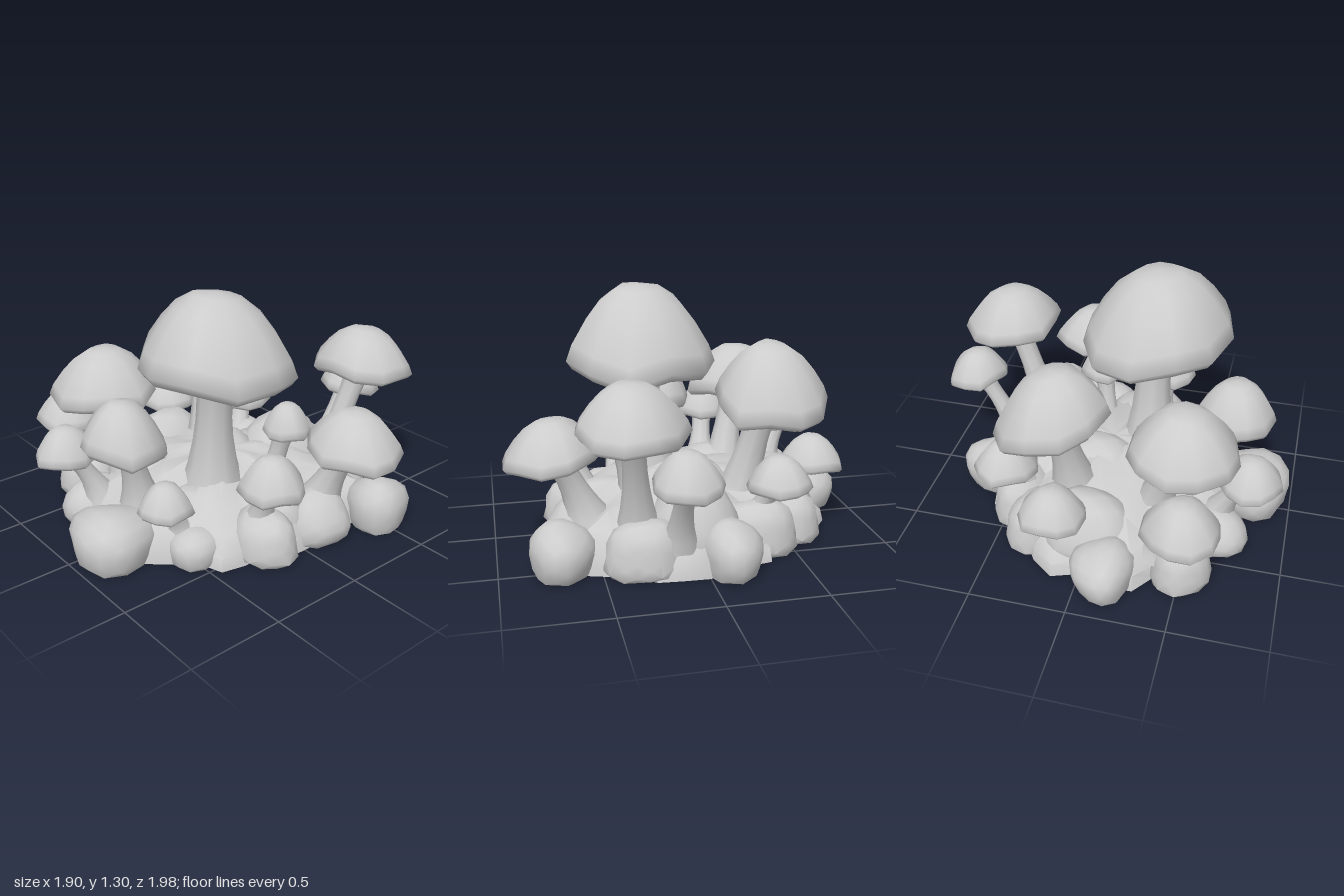
import * as THREE from 'three';
import { toCreasedNormals } from 'three/addons/utils/BufferGeometryUtils.js';

const stone = new THREE.MeshStandardMaterial({ color: 0xcccccc });
stone.name = 'pale grey';

// Move every vertex of a geometry by a rule, then smooth it with sharp edges kept
function reshape(geometry, rule, crease = 0.9) {
  const p = geometry.attributes.position;
  const v = new THREE.Vector3();
  for (let i = 0; i < p.count; i++) {
    v.fromBufferAttribute(p, i);
    rule(v);
    p.setXYZ(i, v.x, v.y, v.z);
  }
  return toCreasedNormals(geometry, crease);
}

function addMesh(group, name, geometry) {
  const mesh = new THREE.Mesh(geometry, stone);
  mesh.name = name;
  group.add(mesh);
}

const lathe = (points, sides) =>
  new THREE.LatheGeometry(points.map(([x, y]) => new THREE.Vector2(x, y)), sides);

// Broad conical cap with a curled lip, wavy rim and a tilt given as slopes in x and z
function makeCap({ x, z, r, rim, top, sx = 0, sz = 0 }, seed) {
  const h = top - rim;
  const profile = [[0, 0.22], [0.3, 0.19], [0.65, 0.1], [0.92, 0.0], [1, 0.1], [0.92, 0.3],
    [0.74, 0.57], [0.54, 0.8], [0.3, 0.96], [0, 1]];
  return reshape(lathe(profile, 11), (v) => {
    const a = Math.atan2(v.x, v.z);
    const d = Math.hypot(v.x, v.z);
    const wave = 1 + 0.03 * Math.sin(3 * a + seed) + 0.03 * Math.sin(5 * a + 2 * seed);
    const droop = 0.07 * d * d * Math.sin(4 * a + seed * 1.7);
    v.x *= r * wave;
    v.z *= r * wave;
    v.y = rim + h * (v.y + droop) + sx * v.x + sz * v.z;
    v.x += x;
    v.z += z;
  }, 1.5);
}

// Curved stem, flared into the mound and widened under the cap
function makeStem({ x, z, rim, top, foot, stem }) {
  const y0 = 0.12, y1 = rim + (top - rim) * 0.28;
  const curve = new THREE.QuadraticBezierCurve3(
    new THREE.Vector3(foot[0], y0, foot[1]),
    new THREE.Vector3(foot[0] * 0.6 + x * 0.4, (y0 + y1) / 2, foot[1] * 0.6 + z * 0.4),
    new THREE.Vector3(x, y1, z));
  return reshape(new THREE.CylinderGeometry(1, 1, 1, 9, 7, true), (v) => {
    const t = v.y + 0.5;
    const c = curve.getPoint(t);
    const s = stem * (1 + 1.5 * Math.pow(1 - t, 3) + 0.55 * Math.pow(t, 6));
    v.set(c.x + v.x * s, c.y, c.z + v.z * s);
  }, 1.5);
}

// Lumpy boulder with a broad foot, cut flat at the ground
function makeRock([x, z, rx, rz, height], seed) {
  const cy = height * 0.36;
  return reshape(new THREE.IcosahedronGeometry(1, 2), (v) => {
    const k = 1 + 0.07 * Math.sin(3 * v.x + seed) + 0.07 * Math.sin(4 * v.z + 2 * seed)
      + 0.05 * Math.sin(5 * v.y + seed);
    const foot = v.y < 0 ? 1 - 0.2 * v.y : 1;
    v.set(x + v.x * k * foot * rx, Math.max(0, cy + v.y * k * (height - cy)), z + v.z * k * foot * rz);
  }, 1.0);
}

// Central mound: rings scaled by a smooth outline of eight radii, starting at +z toward +x
function makeMound() {
  const radii = [0.8, 0.66, 0.64, 0.78, 0.7, 0.62, 0.8, 0.78];
  const profile = [[0, 0], [1, 0], [0.98, 0.08], [0.88, 0.17], [0.7, 0.24], [0.5, 0.29],
    [0.25, 0.33], [0, 0.34]];
  return reshape(lathe(profile, 36), (v) => {
    const a = Math.atan2(v.x, v.z);
    const f = ((a / (Math.PI * 2) + 1) % 1) * 8;
    const i = Math.floor(f) % 8;
    const t = f - Math.floor(f);
    const r = THREE.MathUtils.lerp(radii[i], radii[(i + 1) % 8], t * t * (3 - 2 * t));
    const lump = 1 + 0.05 * Math.sin(9 * a) + 0.03 * Math.sin(14 * a + 1);
    const d = Math.hypot(v.x, v.z);
    v.y *= 1 + 0.2 * d * Math.sin(7 * a + 5 * d);
    v.x *= r * lump;
    v.z *= r * lump;
  });
}

export function createModel() {
  const model = new THREE.Group();
  model.name = 'mushroomCluster';

  // Mushrooms: cap centre, radius, rim and top heights, tilt, foot of the stem, stem radius
  const mushrooms = [
    { x: 0.18, z: 0.19, r: 0.41, rim: 0.86, top: 1.3, sz: 0.12, foot: [0.12, 0.18], stem: 0.085 },
    { x: -0.44, z: -0.21, r: 0.295, rim: 0.7, top: 1.03, sz: 0.25, foot: [-0.28, -0.12], stem: 0.07 },
    { x: -0.44, z: 0.46, r: 0.285, rim: 0.62, top: 0.9, sx: 0.04, sz: -0.03, foot: [-0.3, 0.28], stem: 0.065 },
    { x: 0.02, z: 0.65, r: 0.22, rim: 0.53, top: 0.8, sx: -0.06, sz: 0.1, foot: [-0.02, 0.52], stem: 0.06 },
    { x: -0.73, z: 0.51, r: 0.2, rim: 0.38, top: 0.59, foot: [-0.57, 0.4], stem: 0.06 },
    { x: -0.32, z: 0.79, r: 0.165, rim: 0.4, top: 0.58, foot: [-0.26, 0.6], stem: 0.05 },
    { x: 0.31, z: 0.62, r: 0.14, rim: 0.3, top: 0.46, foot: [0.26, 0.48], stem: 0.04 },
    { x: 0.6, z: 0.19, r: 0.17, rim: 0.38, top: 0.58, foot: [0.47, 0.17], stem: 0.05 },
    { x: 0.71, z: -0.27, r: 0.245, rim: 0.49, top: 0.72, sx: -0.1, foot: [0.5, -0.2], stem: 0.065 },
    { x: 0.37, z: -0.68, r: 0.27, rim: 0.73, top: 0.98, sz: 0.12, foot: [0.3, -0.44], stem: 0.055 },
    { x: 0.14, z: -0.83, r: 0.17, rim: 0.51, top: 0.69, sz: 0.15, foot: [0.13, -0.58], stem: 0.045 },
    { x: -0.41, z: -0.48, r: 0.17, rim: 0.34, top: 0.52, foot: [-0.3, -0.36], stem: 0.05 },
    { x: -0.7, z: -0.14, r: 0.175, rim: 0.33, top: 0.51, foot: [-0.53, -0.08], stem: 0.05 },
    { x: 0.35, z: -0.14, r: 0.13, rim: 0.51, top: 0.68, foot: [0.26, -0.08], stem: 0.045 },
  ];
  mushrooms.forEach((m, i) => {
    const mushroom = new THREE.Group();
    mushroom.name = 'mushroom' + (i + 1);
    addMesh(mushroom, 'cap', makeCap(m, i * 1.3));
    addMesh(mushroom, 'stem', makeStem(m));
    model.add(mushroom);
  });

  // Ground mound with boulders: x, z, half width, half depth, height
  const base = new THREE.Group();
  base.name = 'base';
  addMesh(base, 'mound', makeMound());
  const rocks = [
    [0.05, 0.77, 0.23, 0.22, 0.27], [-0.33, 0.62, 0.17, 0.16, 0.22],
    [-0.6, 0.5, 0.17, 0.17, 0.25], [-0.77, 0.13, 0.18, 0.16, 0.25],
    [-0.52, 0.0, 0.22, 0.22, 0.36], [-0.5, -0.3, 0.17, 0.17, 0.25],
    [-0.13, -0.66, 0.15, 0.17, 0.27], [0.03, -0.4, 0.26, 0.24, 0.43],
    [0.3, -0.56, 0.18, 0.18, 0.27], [0.68, -0.5, 0.16, 0.17, 0.27],
    [0.58, -0.15, 0.18, 0.16, 0.27], [0.54, 0.18, 0.17, 0.17, 0.25],
    [0.34, 0.46, 0.14, 0.16, 0.18], [-0.08, -0.05, 0.24, 0.22, 0.38],
    [-0.3, -0.42, 0.2, 0.18, 0.27], [-0.28, 0.32, 0.24, 0.22, 0.34],
    [0.18, 0.38, 0.2, 0.18, 0.28], [0.42, 0.02, 0.18, 0.18, 0.3],
  ];
  rocks.forEach((rock, i) => addMesh(base, 'boulder' + (i + 1), makeRock(rock, i * 2.1)));
  model.add(base);
  return model;
}
